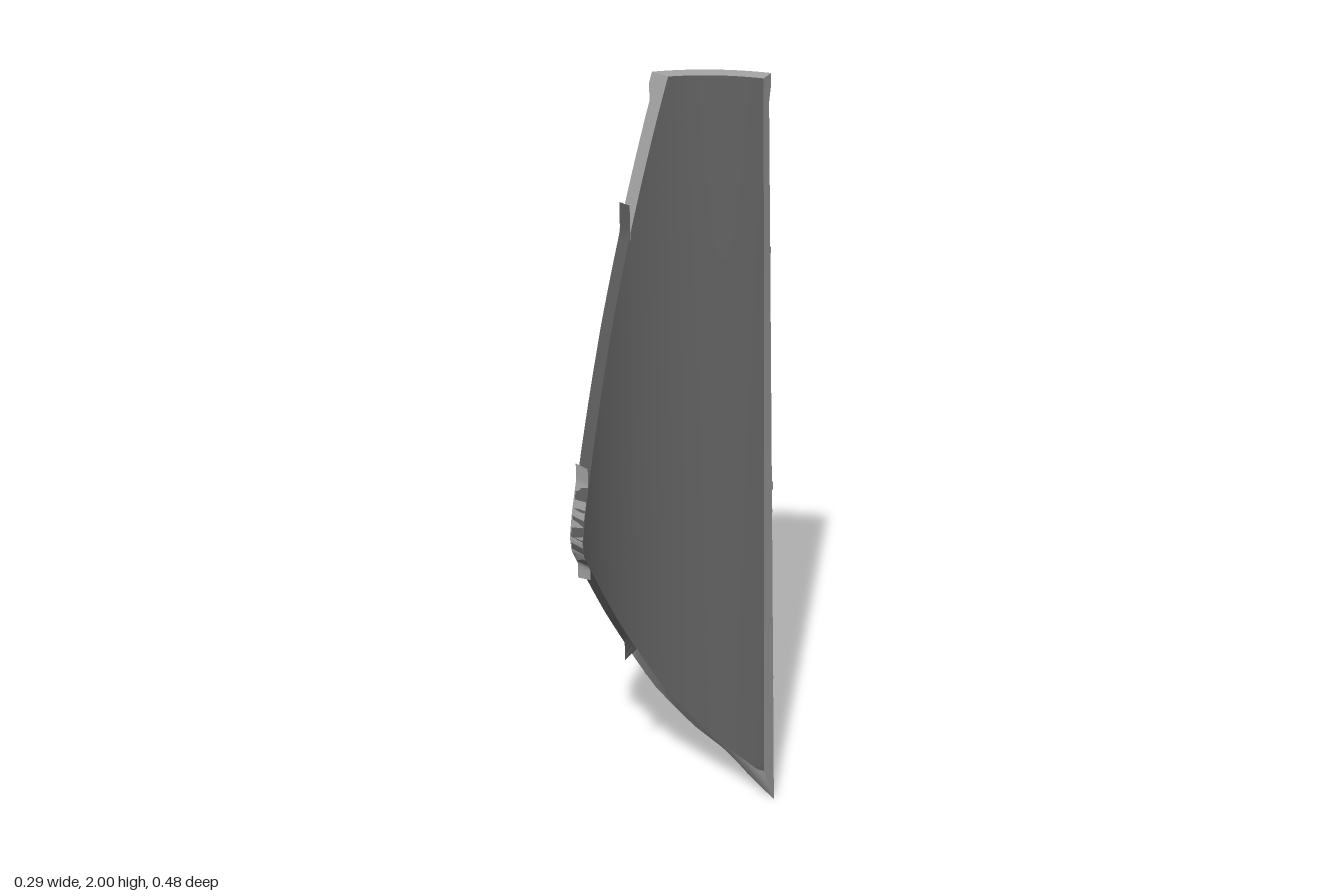
import * as THREE from 'three';
import { toCreasedNormals } from 'three/addons/utils/BufferGeometryUtils.js';

const CX = 0.241, CZ = 0.13;   // axis of the curved plate
const R = 0.388;               // outer radius
const SEAM = 0.06;             // z where the dark leading section begins

const lerpTable = (table, v) => {
  for (let i = 1; i < table.length; i++) {
    const [a, p] = table[i - 1], [b, q] = table[i];
    if (v <= b) return p + (q - p) * Math.max(0, (v - a) / (b - a));
  }
  return table[table.length - 1][1];
};

// Leading edge: furthest z at each height
const EDGE = [[0, -0.24], [0.12, -0.18], [0.2, -0.115], [0.335, -0.025], [0.6, 0.118],
  [0.83, 0.235], [0.87, 0.24], [0.93, 0.23], [1.4, 0.118], [2, -0.035]];
const edgeZ = y => lerpTable(EDGE, y);
const innerR = y => 0.331 + 0.0105 * y;
const startAngle = y => 0.3 + 0.072 * y;
const angleAt = (z, r) => Math.acos(THREE.MathUtils.clamp((CZ - z) / r, -1, 1));
const innerY = y => y < 0.83 ? y + 0.12 * (1 - y / 0.83) : y;
const range = (a, b, n) => Array.from({ length: n + 1 }, (_, i) => a + (b - a) * i / n);

// Curved slab between two radii, from zMin (or the straight edge) to zMax (or the leading edge)
function slab(name, rows, { rOut, rIn, zMin = null, zMax = 9, skewed = true, mats, cols = 24 }) {
  const point = (j, i, outer) => {
    const y = outer || !skewed ? rows[j] : innerY(rows[j]);
    const r = outer ? rOut(y) : rIn(y);
    const a0 = zMin === null ? startAngle(y) : Math.max(startAngle(y), angleAt(zMin, r));
    const a1 = Math.max(a0, angleAt(Math.min(zMax, edgeZ(y)), r));
    const a = a0 + (a1 - a0) * i / cols;
    return new THREE.Vector3(CX - r * Math.sin(a), y, CZ - r * Math.cos(a));
  };
  const O = rows.map((_, j) => range(0, cols, cols).map(i => point(j, i, true)));
  const I = rows.map((_, j) => range(0, cols, cols).map(i => point(j, i, false)));
  const pos = [], geo = new THREE.BufferGeometry(), t = new THREE.Triangle();
  const tri = (a, b, c) => {
    if (t.set(a, b, c).getArea() > 1e-9) [a, b, c].forEach(p => pos.push(p.x, p.y, p.z));
  };
  const quad = (a, b, c, d) => { tri(a, b, c); tri(a, c, d); };
  const last = rows.length - 1;
  let from = 0;
  const close = m => {
    geo.addGroup(from, pos.length / 3 - from, m);
    from = pos.length / 3;
  };
  // Outer face
  for (let j = 0; j < last; j++) for (let i = 0; i < cols; i++)
    quad(O[j][i], O[j][i + 1], O[j + 1][i + 1], O[j + 1][i]);
  close(0);
  // Inner face
  for (let j = 0; j < last; j++) for (let i = 0; i < cols; i++)
    quad(I[j][i], I[j + 1][i], I[j + 1][i + 1], I[j][i + 1]);
  close(1);
  // Side edges, top and bottom
  for (let j = 0; j < last; j++) {
    quad(I[j][0], O[j][0], O[j + 1][0], I[j + 1][0]);
    quad(O[j][cols], I[j][cols], I[j + 1][cols], O[j + 1][cols]);
  }
  for (let i = 0; i < cols; i++) {
    quad(I[last][i], O[last][i], O[last][i + 1], I[last][i + 1]);
    quad(O[0][i], I[0][i], I[0][i + 1], O[0][i + 1]);
  }
  close(0);
  geo.setAttribute('position', new THREE.Float32BufferAttribute(pos, 3));
  const mesh = new THREE.Mesh(toCreasedNormals(geo, 0.45), mats);
  mesh.name = name;
  return mesh;
}

export function createModel() {
  const light = new THREE.MeshStandardMaterial({ color: 0xa6a6a6 });
  light.name = 'light grey';
  const dark = new THREE.MeshStandardMaterial({ color: 0x606060 });
  dark.name = 'dark grey';
  const group = new THREE.Group();
  group.name = 'curvedPlate';

  // Main plate, flaring into a rim at the top
  const flare = y => lerpTable([[1.935, R], [1.975, 0.403], [2, 0.403]], y);
  group.add(slab('mainPlate', [...range(0, 1.935, 70), 1.975, 2],
    { rOut: flare, rIn: innerR, zMax: SEAM, mats: [light, dark] }));

  // Dark leading section, slightly recessed
  group.add(slab('leadingSection', range(0.44, 1.7, 70),
    { rOut: () => R - 0.003, rIn: innerR, zMin: SEAM, mats: [dark, dark] }));

  // Cap on the foremost corner
  group.add(slab('cornerCap', range(0.74, 1.06, 32),
    { rOut: () => R + 0.001, rIn: y => innerR(y) + 0.002, zMin: 0.21, mats: [light, dark], cols: 4 }));

  // Raised bands across the outside
  for (const [y, h, d] of [[1.57, 0.016, 0.005], [0.94, 0.022, 0.006], [0.87, 0.008, 0.003],
    [0.38, 0.01, 0.003], [0.06, 0.008, 0.002]])
    group.add(slab('band', [y - h / 2, y + h / 2],
      { rOut: () => R + d, rIn: () => R - 0.004, zMax: SEAM - 0.005, skewed: false, mats: [light, light] }));

  // Thin side panel beneath the middle band
  group.add(slab('sidePanel', [0.72, 0.93],
    { rOut: () => R + 0.004, rIn: () => R - 0.004, zMin: -0.01, zMax: SEAM - 0.005, skewed: false, mats: [light, light], cols: 6 }));

  return group;
}
